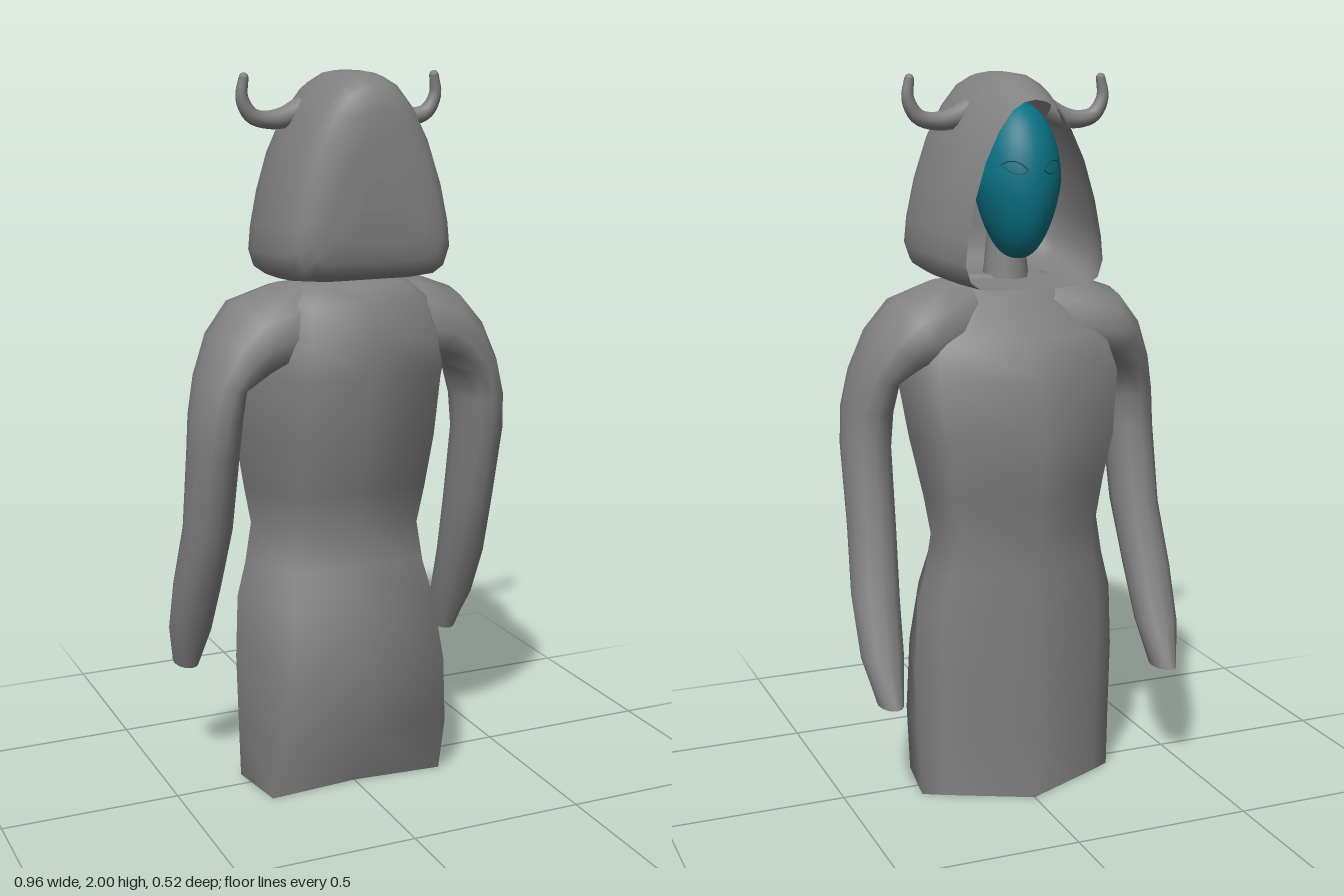
import * as THREE from 'three';

const cloth = new THREE.MeshStandardMaterial({ color: 0x828282 });
const clothThin = new THREE.MeshStandardMaterial({ color: 0x828282, side: THREE.DoubleSide });
const teal = new THREE.MeshStandardMaterial({ color: 0x087284 });
const darkTeal = new THREE.MeshStandardMaterial({ color: 0x054a56 });

// Smooth skin through closed loops of [x, y, z]; optional flat caps on the ends
function loft(rings, capStart, capEnd) {
  const n = rings[0].length, pos = rings.flat(2), idx = [];
  for (let j = 0; j < rings.length - 1; j++) {
    for (let i = 0; i < n; i++) {
      const a = j * n + i, b = j * n + (i + 1) % n;
      idx.push(a, b, a + n, b, b + n, a + n);
    }
  }
  const cap = (ring, flip) => {
    const base = pos.length / 3;
    ring.forEach(p => pos.push(...p));
    pos.push(...[0, 1, 2].map(k => ring.reduce((s, p) => s + p[k], 0) / n));
    for (let i = 0; i < n; i++) {
      const a = base + i, b = base + (i + 1) % n;
      idx.push(...(flip ? [b, a, base + n] : [a, b, base + n]));
    }
  };
  if (capStart) cap(rings[0], true);
  if (capEnd) cap(rings[rings.length - 1], false);
  const g = new THREE.BufferGeometry();
  g.setAttribute('position', new THREE.Float32BufferAttribute(pos, 3));
  g.setIndex(idx);
  g.computeVertexNormals();
  return g;
}

export function createModel() {
  const model = new THREE.Group();
  const add = (name, geometry, material = cloth) => {
    const mesh = new THREE.Mesh(geometry, material);
    mesh.name = name;
    model.add(mesh);
    return mesh;
  };

  // Robe: y, half width, side z, chest z, chest fullness, back x, back z, spine z
  const robe = [
    [0, 0.287, -0.06, -0.2, 0.22, 0.26, 0.125, 0.105],
    [0.17, 0.295, -0.05, -0.21, 0.24, 0.25, 0.18, 0.155],
    [0.37, 0.3, -0.05, -0.22, 0.27, 0.23, 0.205, 0.185],
    [0.55, 0.293, -0.05, -0.22, 0.3, 0.21, 0.175, 0.16],
    [0.65, 0.268, -0.05, -0.22, 0.36, 0.19, 0.145, 0.13],
    [0.76, 0.25, -0.05, -0.222, 0.42, 0.18, 0.125, 0.11],
    [0.87, 0.27, -0.05, -0.237, 0.52, 0.185, 0.16, 0.145],
    [1.03, 0.302, -0.03, -0.259, 0.62, 0.19, 0.205, 0.185],
    [1.2, 0.325, 0.0, -0.235, 0.66, 0.19, 0.24, 0.205],
    [1.3, 0.3, 0.03, -0.175, 0.7, 0.18, 0.235, 0.205],
    [1.4, 0.25, 0.06, -0.08, 0.68, 0.16, 0.2, 0.185],
    [1.445, 0.17, 0.06, -0.04, 0.7, 0.12, 0.155, 0.15],
    [1.46, 0.11, 0.05, -0.02, 0.7, 0.08, 0.11, 0.11],
  ].map(([y, w, zs, zf, f, bx, zb, sp]) => {
    const m = 0.8 * w, zm = zs + (zf - zs) * f;
    return [[w, y, zs], [m, y, zm], [0, y, zf], [-m, y, zm], [-w, y, zs],
      [-bx, y, zb], [0, y, sp], [bx, y, zb]];
  });
  add('robe', loft(robe, true, true));

  // Sleeves bending over the shoulder: x, y, z of centre, half width, half depth, tilt in degrees
  const arm = [
    [0.412, 0.33, -0.168, 0.034, 0.058, 0],
    [0.415, 0.45, -0.112, 0.06, 0.064, 0],
    [0.412, 0.6, -0.05, 0.067, 0.072, 0],
    [0.4, 0.78, 0.013, 0.066, 0.085, 0],
    [0.398, 1.0, 0.062, 0.068, 0.095, 0],
    [0.391, 1.1, 0.066, 0.068, 0.11, 4],
    [0.373, 1.19, 0.056, 0.064, 0.13, 16],
    [0.318, 1.262, 0.04, 0.092, 0.152, 38],
    [0.262, 1.303, 0.03, 0.118, 0.165, 60],
    [0.17, 1.325, 0.04, 0.128, 0.15, 76],
    [0.08, 1.33, 0.05, 0.128, 0.12, 84],
  ];
  for (const s of [1, -1]) {
    const rings = arm.map(([x, y, z, rx, rz, deg]) => Array.from({ length: 12 }, (_, i) => {
      const a = i / 12 * Math.PI * 2, tilt = deg * Math.PI / 180, u = rx * Math.cos(a);
      return [s * x + u * Math.cos(tilt), y + s * u * Math.sin(tilt), z - rz * Math.sin(a)];
    }));
    add(s > 0 ? 'leftArm' : 'rightArm', loft(rings, true, true));
  }

  // Hood: one arched outline swept from the open face to the rounded back
  const arch = [[0, 0], [0.5, 0], [0.8, 0.012], [0.93, 0.05], [1, 0.14], [0.97, 0.27], [0.87, 0.47],
    [0.71, 0.68], [0.52, 0.84], [0.33, 0.945], [0.16, 0.988], [0, 1]];
  const outline = [...arch, ...arch.slice(1, -1).reverse().map(([x, t]) => [-x, t])];
  const hood = [
    [-0.19, 0.195, 1.44, 1.93], [-0.1, 0.226, 1.445, 1.975], [-0.03, 0.243, 1.45, 1.997],
    [0.05, 0.25, 1.453, 2], [0.13, 0.248, 1.457, 2], [0.19, 0.235, 1.463, 1.992],
    [0.23, 0.215, 1.48, 1.965], [0.25, 0.185, 1.515, 1.91], [0.257, 0.13, 1.57, 1.83],
    [0.26, 0.05, 1.65, 1.73],
  ].map(([z, w, y0, y1]) => outline.map(([x, t]) => [x * w, y0 + t * (y1 - y0), z]));
  add('hood', loft(hood, false, true), clothThin);

  // Neck
  const neck = new THREE.CylinderGeometry(0.045, 0.065, 0.2, 16);
  add('neck', neck).position.set(0, 1.53, 0.02);

  // Face mask: ellipsoid with a long, blunt chin
  const faceHeight = 0.208, faceY = 1.717;
  const faceWidth = v => 0.116 * (v < 0 ? 1 + 0.28 * v : 1);
  const faceZ = (x, y) => {
    const v = y / faceHeight;
    return -0.059 - 0.14 * Math.sqrt(Math.max(0, 1 - v * v - (x / faceWidth(v)) ** 2));
  };
  const face = new THREE.SphereGeometry(1, 32, 24);
  const p = face.attributes.position;
  for (let i = 0; i < p.count; i++) {
    const v = p.getY(i), blunt = v < 0 ? Math.pow(Math.max(1 - v * v, 1e-6), -0.1) : 1;
    p.setXYZ(i, p.getX(i) * faceWidth(v) * blunt, v * faceHeight, p.getZ(i) * 0.14 * blunt - 0.059);
  }
  face.computeVertexNormals();
  add('faceMask', face, teal).position.y = faceY;

  for (const s of [1, -1]) {
    // Almond eye rim lying on the mask
    const rim = Array.from({ length: 16 }, (_, i) => {
      const a = i / 16 * Math.PI * 2;
      const x = s * (0.052 + 0.03 * Math.cos(a));
      const y = 0.04 + 0.016 * Math.sin(a) * Math.abs(Math.sin(a)) + 0.007 * Math.cos(a);
      return new THREE.Vector3(x, y, faceZ(x, y));
    });
    const eye = new THREE.TubeGeometry(new THREE.CatmullRomCurve3(rim, true), 32, 0.0015, 5, true);
    add(s > 0 ? 'leftEye' : 'rightEye', eye, darkTeal).position.y = faceY;

    // Curved horn, tapering to the tip
    const path = new THREE.CatmullRomCurve3([[0.11, 1.9, 0.004], [0.16, 1.878, 0.004], [0.21, 1.872, 0.004],
      [0.255, 1.885, 0.005], [0.281, 1.93, 0.006], [0.276, 1.982, 0.008]]
      .map(([x, y, z]) => new THREE.Vector3(s * x, y, z)));
    const steps = 20, sides = 10;
    const horn = new THREE.TubeGeometry(path, steps, 1, sides);
    const q = horn.attributes.position, v = new THREE.Vector3();
    for (let j = 0; j <= steps; j++) {
      const c = path.getPointAt(j / steps), r = 0.033 - 0.02 * j / steps;
      for (let i = 0; i <= sides; i++) {
        const k = j * (sides + 1) + i;
        v.fromBufferAttribute(q, k).sub(c).multiplyScalar(r).add(c);
        q.setXYZ(k, v.x, v.y, v.z);
      }
    }
    add(s > 0 ? 'leftHorn' : 'rightHorn', horn);
    add(s > 0 ? 'leftHornTip' : 'rightHornTip', new THREE.SphereGeometry(0.013, 10, 8))
      .position.copy(path.getPointAt(1));
  }
  return model;
}
